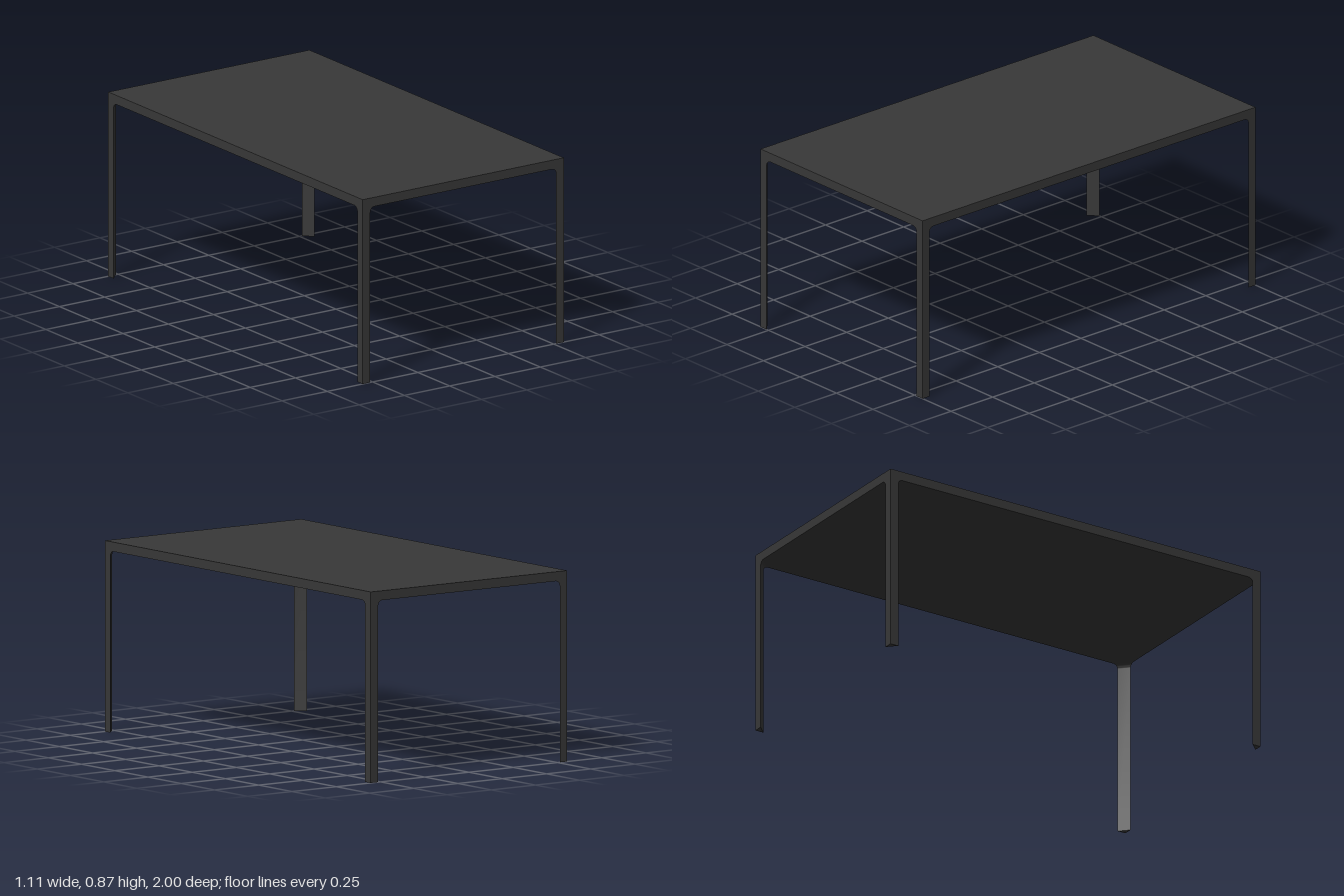
import * as THREE from 'three';
import { toCreasedNormals } from 'three/addons/utils/BufferGeometryUtils.js';

const HX = 0.555, HZ = 1;                    // half width and half length
const TOP = 0.872, SEAM = 0.85, UNDER = 0.829;
const LEG = 0.042, FILLET = 0.024, PLATE = 0.086;

// Three-sided leg lofted upward, flaring through a fillet into the top
function legGeometry() {
  const rings = [[0, LEG]];
  const steps = 10;
  for (let i = 0; i <= steps; i++) {
    const a = (i / steps) * Math.PI / 2;
    rings.push([UNDER - FILLET + FILLET * Math.sin(a), LEG + FILLET * (1 - Math.cos(a))]);
  }
  const points = [], index = [];
  for (const [y, s] of rings) points.push(0, y, 0, s, y, 0, 0, y, s);
  for (let r = 0; r < rings.length - 1; r++) {
    for (let k = 0; k < 3; k++) {
      const a = r * 3 + k, b = r * 3 + (k + 1) % 3;
      index.push(a, a + 3, b, b, a + 3, b + 3);
    }
  }
  index.push(0, 1, 2);
  const g = new THREE.BufferGeometry();
  g.setAttribute('position', new THREE.Float32BufferAttribute(points, 3));
  g.setIndex(index);
  return toCreasedNormals(g, 0.5);
}

// Lower layer of the top, notched at the corners for the leg plates
function coreGeometry() {
  const x = HX, z = HZ, n = PLATE;
  const shape = new THREE.Shape([
    [-x + n, -z], [x - n, -z], [x - n, -z + n], [x, -z + n],
    [x, z - n], [x - n, z - n], [x - n, z], [-x + n, z],
    [-x + n, z - n], [-x, z - n], [-x, -z + n], [-x + n, -z + n],
  ].map(([a, b]) => new THREE.Vector2(a, b)));
  const g = new THREE.ExtrudeGeometry(shape, { depth: SEAM - UNDER, bevelEnabled: false });
  return g.rotateX(-Math.PI / 2).translate(0, UNDER, 0);
}

export function createModel() {
  const table = new THREE.Group();
  table.name = 'table';
  const dark = new THREE.MeshStandardMaterial({ color: 0x383838 });
  const add = (parent, geometry, name) => {
    const mesh = new THREE.Mesh(geometry, dark);
    mesh.name = name;
    parent.add(mesh);
  };

  // Table top in two flush layers
  const sheet = new THREE.BoxGeometry(2 * HX, TOP - SEAM, 2 * HZ);
  add(table, sheet.translate(0, (TOP + SEAM) / 2, 0), 'topSheet');
  add(table, coreGeometry(), 'topCore');

  // Four corner legs, each with its mounting plate
  const leg = legGeometry();
  const plate = new THREE.BoxGeometry(PLATE, SEAM - UNDER, PLATE);
  plate.translate(PLATE / 2, (SEAM + UNDER) / 2, PLATE / 2);
  [[-1, -1], [1, -1], [1, 1], [-1, 1]].forEach(([sx, sz], k) => {
    const corner = new THREE.Group();
    corner.name = `${sz > 0 ? 'front' : 'back'}${sx > 0 ? 'Left' : 'Right'}Corner`;
    corner.position.set(sx * HX, 0, sz * HZ);
    corner.rotation.y = -k * Math.PI / 2;
    add(corner, leg, 'leg');
    add(corner, plate, 'cornerPlate');
    table.add(corner);
  });
  return table;
}
